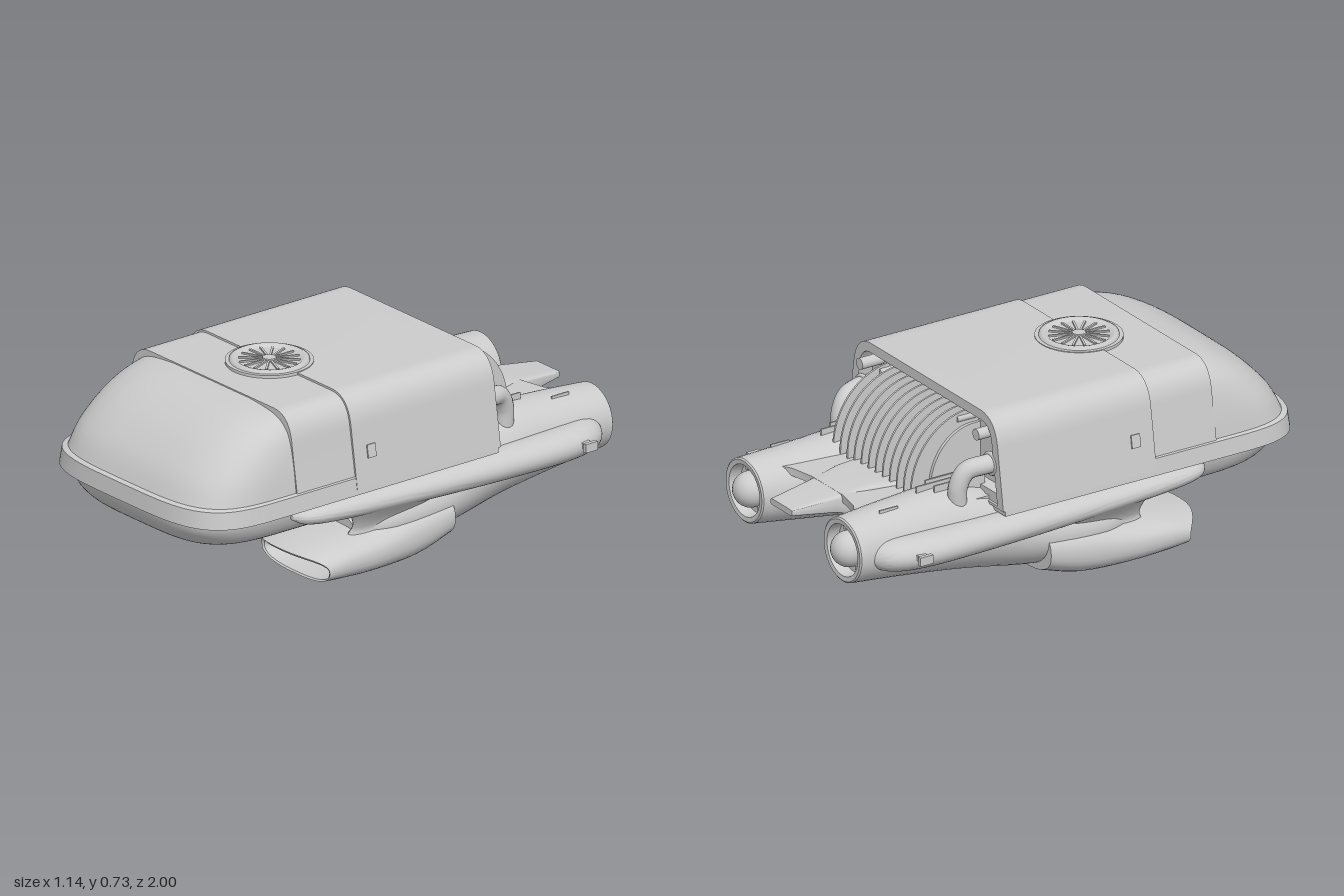
import * as THREE from 'three';
import { toCreasedNormals } from 'three/addons/utils/BufferGeometryUtils.js';

const material = new THREE.MeshStandardMaterial({ color: 0xcccccc });

function add(parent, name, geometry, x = 0, y = 0, z = 0) {
  const mesh = new THREE.Mesh(geometry, material);
  mesh.name = name;
  mesh.position.set(x, y, z);
  parent.add(mesh);
  return mesh;
}

// Skin closed rings of points, cap both ends and turn the faces outward.
function loft(rings, crease = 0.6) {
  const n = rings[0].length;
  const points = rings.flat();
  const index = [];
  rings.slice(1).forEach((_, r) => {
    for (let i = 0; i < n; i++) {
      const a = r * n + i, b = r * n + (i + 1) % n;
      index.push(a, b, a + n, b, b + n, a + n);
    }
  });
  [0, rings.length - 1].forEach((r) => {
    const centre = rings[r].reduce((s, p) => s.add(p), new THREE.Vector3()).divideScalar(n);
    points.push(centre);
    for (let i = 0; i < n; i++) {
      const a = r * n + i, b = r * n + (i + 1) % n, c = points.length - 1;
      r ? index.push(a, b, c) : index.push(b, a, c);
    }
  });
  let volume = 0;
  const cross = new THREE.Vector3();
  for (let i = 0; i < index.length; i += 3) {
    volume += points[index[i]].dot(cross.crossVectors(points[index[i + 1]], points[index[i + 2]]));
  }
  if (volume < 0) index.reverse();
  const geometry = new THREE.BufferGeometry().setFromPoints(points);
  geometry.setIndex(index);
  return toCreasedNormals(geometry, crease);
}

// Smoothly fill in rows of numbers between key rows.
function smoothRows(keys, steps = 5) {
  const rows = [];
  for (let k = 0; k < keys.length - 1; k++) {
    const [a, b, c, d] = [-1, 0, 1, 2].map((o) => keys[Math.min(Math.max(k + o, 0), keys.length - 1)]);
    for (let s = 0; s < steps; s++) {
      const t = s / steps;
      rows.push(b.map((v, i) => v + 0.5 * t * (c[i] - a[i] + t * (2 * a[i] - 5 * v + 4 * c[i] - d[i]
        + t * (3 * (v - c[i]) + d[i] - a[i])))));
    }
  }
  return [...rows, keys[keys.length - 1]];
}

// Upright superellipse ring; lip pulls its upper half forward.
function ring([z, cx, cy, rx, ry], side = 1, power = 2, lip = 0, n = 40) {
  return Array.from({ length: n }, (_, i) => {
    const a = i / n * Math.PI * 2, c = Math.cos(a), s = Math.sin(a);
    return new THREE.Vector3(side * (cx + rx * Math.sign(c) * Math.abs(c) ** (2 / power)),
      cy + ry * Math.sign(s) * Math.abs(s) ** (2 / power), z + lip * Math.max(0, s) ** 2);
  });
}

// Level outline: square at the back, rounded at the front.
function planRing([y, w, front, back]) {
  const pts = [new THREE.Vector3(-w, y, back), new THREE.Vector3(w, y, back)];
  for (let i = 0; i <= 40; i++) {
    const a = i / 40 * Math.PI, c = Math.cos(a);
    pts.push(new THREE.Vector3(w * Math.sign(c) * Math.abs(c) ** 0.5, y,
      front - 0.4 + 0.4 * Math.sin(a) ** 0.5));
  }
  return pts;
}

// Arched section of the cabin, grown by g.
function arch(g, bottom, Type = THREE.Shape) {
  const s = new Type();
  const foot = 0.494 + g + (0.42 - bottom) * 0.12;
  s.moveTo(-foot, bottom);
  s.lineTo(foot, bottom);
  s.lineTo(0.464 + g, 0.6);
  s.bezierCurveTo(0.455 + g, 0.67, 0.425 + g, 0.714 + g, 0.355, 0.714 + g);
  s.lineTo(-0.355, 0.714 + g);
  s.bezierCurveTo(-0.425 - g, 0.714 + g, -0.455 - g, 0.67, -0.464 - g, 0.6);
  s.closePath();
  return s;
}

function extrude(shape, depth) {
  return toCreasedNormals(new THREE.ExtrudeGeometry(shape, { depth, bevelEnabled: false, curveSegments: 16 }), 0.5);
}

function addCabin(model) {
  add(model, 'lowerLip', loft([[0.35, 0.508, 1, -0.36], [0.415, 0.5, 0.993, -0.36], [0.42, 0.492, 0.985, -0.36]].map(planRing)));
  const dome = smoothRows([[0.41, 0.488, 0.978, -0.3], [0.5, 0.477, 0.93, -0.3], [0.59, 0.459, 0.845, -0.3],
    [0.65, 0.438, 0.76, -0.3], [0.69, 0.4, 0.675, -0.3], [0.709, 0.33, 0.59, -0.3]]);
  add(model, 'frontDome', loft(dome.map(planRing), 0.9));
  add(model, 'cabinShell', extrude(arch(0, 0.41), 0.88), 0, 0, -0.31);
  add(model, 'roofPanel', extrude(arch(0.008, 0.37), 0.61), 0, 0, -0.31);
  // Rim around the recessed rear wall
  const rim = arch(0.008, 0.37);
  rim.holes.push(arch(-0.03, 0.38, THREE.Path));
  add(model, 'rearRim', extrude(rim, 0.06), 0, 0, -0.37);
  const keel = smoothRows([[0.355, 0.435, 0.985, -0.36], [0.3, 0.428, 0.965, -0.36], [0.245, 0.4, 0.91, -0.3],
    [0.215, 0.35, 0.83, -0.2], [0.203, 0.29, 0.74, -0.1]]);
  add(model, 'lowerHull', loft(keel.map(planRing), 0.9));
}

function addRoofVent(model) {
  const vent = new THREE.Group();
  vent.name = 'roofVent';
  vent.position.set(0, 0.715, 0.3);
  model.add(vent);
  add(vent, 'ventCollar', new THREE.CylinderGeometry(0.162, 0.162, 0.018, 48), 0, 0.001, 0);
  const rimProfile = [[0.15, 0], [0.146, 0.016], [0.135, 0.021], [0.125, 0.019], [0.112, 0.01]];
  const rim = add(vent, 'ventRim', new THREE.LatheGeometry(rimProfile.map((p) => new THREE.Vector2(...p)).reverse(), 48));
  rim.material = material.clone();
  rim.material.side = THREE.DoubleSide;
  for (let i = 0; i < 16; i++) {
    const a = i / 16 * Math.PI * 2;
    const spoke = add(vent, 'ventSpoke', new THREE.BoxGeometry(0.085, 0.008, 0.008), Math.cos(a) * 0.07, 0.012, -Math.sin(a) * 0.07);
    spoke.rotation.y = a;
  }
  add(vent, 'ventHub', new THREE.CylinderGeometry(0.025, 0.03, 0.014, 24), 0, 0.012, 0);
}

function addRear(model) {
  // Curved cooling fins, with a smaller curved core between them
  const quarter = (r, h) => {
    const s = new THREE.Shape();
    s.moveTo(0.3, 0.38);
    s.lineTo(0.34 + r, 0.38);
    s.absellipse(0.34, 0.41, r, h, 0, Math.PI / 2);
    s.lineTo(0.3, 0.41 + h);
    s.closePath();
    return s;
  };
  for (let i = 0; i < 12; i++) {
    add(model, 'coolingFin', extrude(quarter(0.265, 0.275), 0.008).rotateY(Math.PI / 2), (i - 5.5) * 0.046 - 0.004);
  }
  add(model, 'coolingCore', extrude(quarter(0.19, 0.22), 0.54).rotateY(Math.PI / 2), -0.27);
  // Rear deck between the engines, drawn with y as minus z
  const deck = new THREE.Shape();
  const half = [[0.4, 0.3], [0.4, 0.6], [0.27, 0.86], [0.2, 0.82], [0.1, 0.8]];
  [...half, ...half.map(([x, y]) => [-x, y]).reverse()].forEach(([x, y], i) => (i ? deck.lineTo(x, y) : deck.moveTo(x, y)));
  add(model, 'rearDeck', extrude(deck, 0.03).rotateX(-Math.PI / 2), 0, 0.365, 0);
  const tail = [[0.35, 0, 0.26, 0.3, 0.05], [-0.3, 0, 0.3, 0.2, 0.1], [-0.68, 0, 0.345, 0.125, 0.065],
    [-0.82, 0, 0.357, 0.095, 0.035], [-1, 0, 0.358, 0.07, 0.012]];
  add(model, 'tailKeel', loft(tail.map((row) => ring(row, 1, 8))));
}

function addSide(model, s) {
  const side = new THREE.Group();
  side.name = s > 0 ? 'leftEngine' : 'rightEngine';
  model.add(side);
  // Engine barrel with a hollow nozzle
  const barrel = smoothRows([[0.25, 0.33, 0.17, 0.1, 0.05], [0.1, 0.33, 0.18, 0.16, 0.11], [-0.15, 0.32, 0.2, 0.175, 0.138],
    [-0.45, 0.305, 0.268, 0.16, 0.165], [-0.7, 0.308, 0.284, 0.143, 0.146], [-0.945, 0.32, 0.293, 0.124, 0.124]]);
  barrel.push([-0.95, 0.32, 0.293, 0.118, 0.118], [-0.948, 0.32, 0.293, 0.1, 0.1], [-0.9, 0.32, 0.293, 0.095, 0.095]);
  add(side, 'engineBarrel', loft(barrel.map((row) => ring(row, s))));
  add(side, 'exhaustBall', new THREE.SphereGeometry(0.068, 32, 20), s * 0.32, 0.293, -0.92);
  for (let i = 0; i < 3; i++) {
    const a = Math.PI / 2 + i * Math.PI * 2 / 3;
    add(side, 'nozzleStud', new THREE.BoxGeometry(0.016, 0.016, 0.04), s * (0.32 + 0.09 * Math.cos(a)), 0.293 + 0.09 * Math.sin(a), -0.92);
  }
  add(side, 'barrelRidge', new THREE.BoxGeometry(0.006, 0.02, 0.08), s * 0.355, 0.419, -0.77);

  // Air scoop with a hooked upper lip and a hollow mouth
  const scoop = smoothRows([[-0.16, 0.325, 0.144, 0.182, 0.092], [0, 0.325, 0.115, 0.196, 0.107], [0.2, 0.325, 0.094, 0.203, 0.091],
    [0.36, 0.325, 0.09, 0.203, 0.077], [0.44, 0.325, 0.083, 0.197, 0.06]]);
  const mouth = [[0.435, 0.325, 0.08, 0.187, 0.05], [0.3, 0.325, 0.08, 0.18, 0.05], [0.1, 0.325, 0.09, 0.15, 0.04]];
  const lipAt = (z) => 0.08 * Math.max(0, (z - 0.34) / 0.1) ** 2;
  add(side, 'airScoop', loft([...scoop, ...mouth].map((row) => ring(row, s, 2.5, lipAt(row[0])))));
  // Flared struts that carry the scoop
  [[0.24, 0.2], [0.43, 0.46]].forEach(([bottom, top]) => {
    const rows = smoothRows([[0.12, bottom, 0.065, 0.24], [0.17, bottom, 0.038, 0.2], [0.21, (bottom + top) / 2, 0.032, 0.19],
      [0.27, top, 0.06, 0.22]]);
    add(side, 'scoopStrut', loft(rows.map(([y, cx, rx, rz]) =>
      ring([0, cx, 0, rx, rz], s).map((p) => new THREE.Vector3(p.x, y, p.y + 0.08)))));
  });

  // Long side fairing and its lamp
  const fairing = smoothRows([[0.55, 0.44, 0.303, 0.01, 0.008], [0.5, 0.452, 0.302, 0.042, 0.03], [0.35, 0.458, 0.298, 0.058, 0.042],
    [0, 0.463, 0.289, 0.067, 0.05], [-0.4, 0.462, 0.285, 0.08, 0.06], [-0.7, 0.455, 0.284, 0.086, 0.063],
    [-0.84, 0.425, 0.284, 0.078, 0.056], [-0.9, 0.41, 0.284, 0.02, 0.02]]);
  add(side, 'sideFairing', loft(fairing.map((row) => ring(row, s)), 0.9));
  add(side, 'lampStem', new THREE.BoxGeometry(0.05, 0.022, 0.035), s * 0.535, 0.293, -0.745);
  add(side, 'lampHead', new THREE.BoxGeometry(0.016, 0.034, 0.056), s * 0.562, 0.293, -0.745);

  // Coolant pipe, rear fittings and side latch
  const path = new THREE.CatmullRomCurve3([[0.42, 0.53, -0.3], [0.415, 0.53, -0.39], [0.395, 0.515, -0.455],
    [0.385, 0.46, -0.485], [0.38, 0.38, -0.487]].map(([x, y, z]) => new THREE.Vector3(s * x, y, z)));
  add(side, 'coolantPipe', new THREE.TubeGeometry(path, 28, 0.036, 16));
  add(side, 'pipeCollar', new THREE.TorusGeometry(0.038, 0.009, 8, 24), s * 0.417, 0.53, -0.365);
  [[0.38, 0.64, 0.022], [0.25, 0.655, 0.014]].forEach(([x, y, r]) => {
    add(side, 'rearFitting', new THREE.CylinderGeometry(r, r, 0.1, 20).rotateX(Math.PI / 2), s * x, y, -0.355);
  });
  [0.28, 0.31, 0.34].forEach((x, i) => {
    add(side, 'sideRib', new THREE.BoxGeometry(0.007, 0.1, 0.28 - Math.abs(i - 1) * 0.06), s * x, 0.41, -0.48 + Math.abs(i - 1) * 0.03);
  });
  const latch = add(side, 'sideLatch', new THREE.BoxGeometry(0.012, 0.05, 0.038), s * 0.487, 0.5, 0.22);
  latch.rotation.z = s * 0.165;
}

export function createModel() {
  const model = new THREE.Group();
  model.name = 'hoverCraft';
  addCabin(model);
  addRoofVent(model);
  addRear(model);
  [1, -1].forEach((s) => addSide(model, s));
  return model;
}
